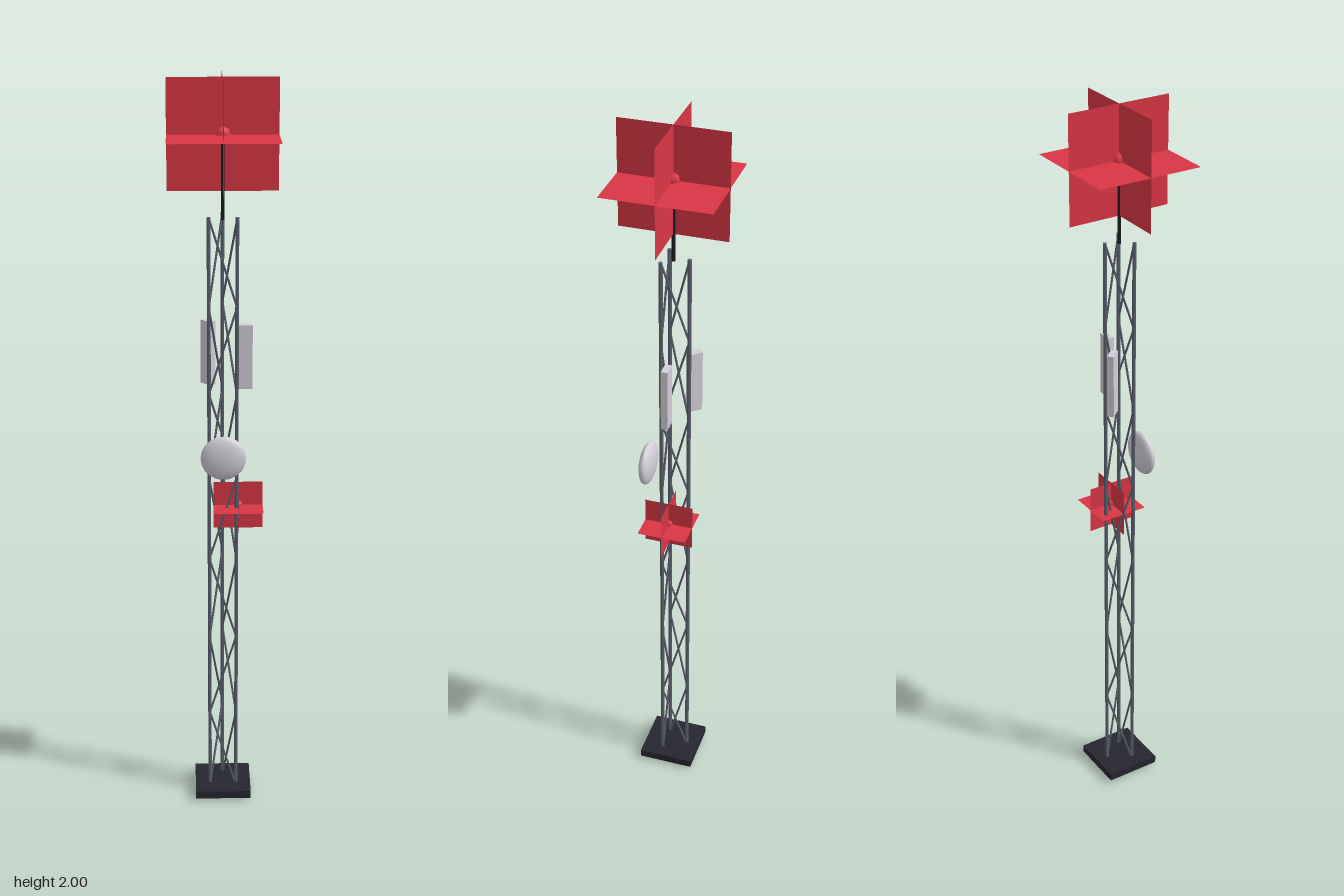
import * as THREE from 'three';

const material = (name, color, extra = {}) => {
  const m = new THREE.MeshStandardMaterial({ color, ...extra });
  m.name = name;
  return m;
};

export function createModel() {
  const group = new THREE.Group();
  const steel = material('slate steel', 0x5a5f6c);
  const dark = material('dark base', 0x262630);
  const black = material('black rod', 0x191a20);
  const pale = material('pale grey', 0xd2cfd8);
  const red = material('beacon red', 0xd83644, { side: THREE.DoubleSide });

  const add = (name, geometry, mat, x = 0, y = 0, z = 0, parent = group) => {
    const mesh = new THREE.Mesh(geometry, mat);
    mesh.name = name;
    mesh.position.set(x, y, z);
    parent.add(mesh);
    return mesh;
  };

  // Round bar between two points
  const up = new THREE.Vector3(0, 1, 0);
  const bar = (name, a, b, radius, mat, sides = 6) => {
    const dir = b.clone().sub(a);
    const mid = a.clone().add(b).multiplyScalar(0.5);
    const mesh = add(name, new THREE.CylinderGeometry(radius, radius, dir.length(), sides), mat, mid.x, mid.y, mid.z);
    mesh.quaternion.setFromUnitVectors(up, dir.normalize());
  };

  // Foundation slab
  add('base', new THREE.BoxGeometry(0.154, 0.022, 0.154), dark, 0, 0.019, 0);

  // Three legs on a triangle, one at the back
  const top = 1.655, mastRadius = 0.042;
  const corner = (k, y) => {
    const a = -Math.PI / 2 + (k % 3) * Math.PI * 2 / 3;
    return new THREE.Vector3(mastRadius * Math.cos(a), y, mastRadius * Math.sin(a));
  };
  for (let k = 0; k < 3; k++) bar('leg', corner(k, 0), corner(k, top), 0.0055, steel);

  // Zigzag bracing on each face
  const bays = 7, foot = 0.02, step = (top - foot) / bays;
  for (let i = 0; i < bays; i++) {
    const y0 = foot + i * step, y1 = y0 + step;
    for (let k = 0; k < 3; k++) {
      const flip = i % 2;
      bar('brace', corner(k + flip, y0), corner(k + 1 - flip, y1), 0.003, steel, 5);
    }
  }

  // Top rod
  bar('topRod', new THREE.Vector3(0, 1.645, 0), new THREE.Vector3(0, 1.86, 0), 0.005, black);

  // Warning lamps: a small bulb in three crossed square plates
  const beacon = (name, x, y, half, bulb) => {
    const lamp = new THREE.Group();
    lamp.name = name;
    lamp.position.set(x, y, 0);
    group.add(lamp);
    add('bulb', new THREE.SphereGeometry(bulb, 5, 4, Math.PI), red, 0, 0, 0, lamp);
    for (const [rx, ry] of [[0, 0], [0, Math.PI / 2], [-Math.PI / 2, 0]]) {
      add('glowPlate', new THREE.PlaneGeometry(half * 2, half * 2), red, 0, 0, 0, lamp).rotation.set(rx, ry, 0);
    }
  };
  beacon('topBeacon', 0, 1.859, 0.141, 0.021);
  beacon('sideBeacon', 0.041, 0.869, 0.066, 0.014);

  // Dish on the front
  add('dish', new THREE.SphereGeometry(0.06, 16, 10), pale, 0, 1.028, 0.07).scale.z = 0.33;

  // Panel antennas standing out from the mast
  for (const a of [0, 4.0]) {
    const panel = add('panelAntenna', new THREE.BoxGeometry(0.039, 0.172, 0.018), pale,
      0.058 * Math.cos(a), 1.284, 0.058 * Math.sin(a));
    panel.rotation.y = -a;
  }

  return group;
}
